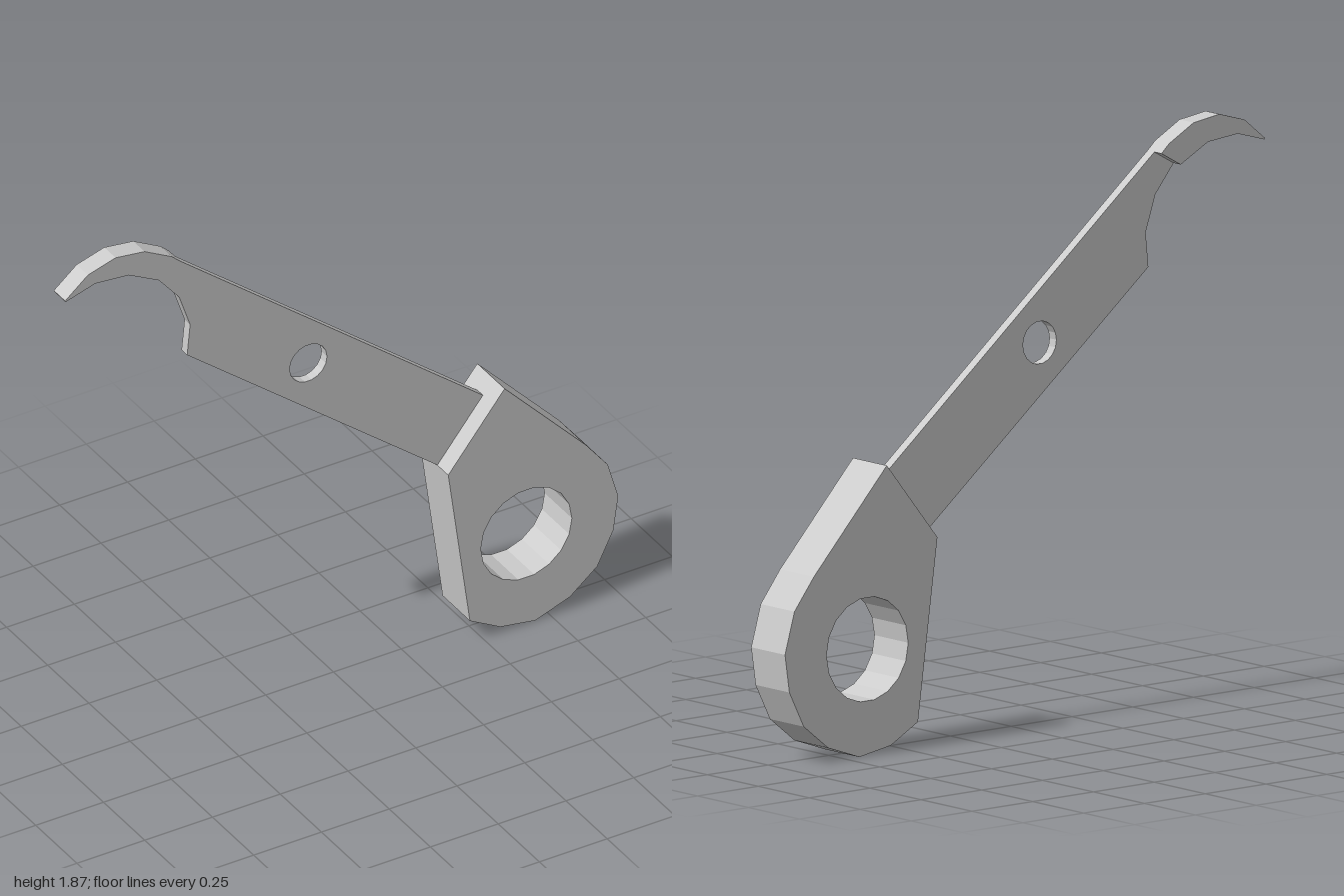
import * as THREE from 'three';

const material = new THREE.MeshStandardMaterial({ color: 0xcccccc, flatShading: true });

// Regular polygon used as a round hole
function roundHole(cx, cy, r, sides) {
  const pts = [];
  for (let i = 0; i < sides; i++) {
    const a = (-i / sides) * Math.PI * 2;
    pts.push(new THREE.Vector2(cx + r * Math.cos(a), cy + r * Math.sin(a)));
  }
  return new THREE.Path(pts);
}

// Flat plate cut from an outline, spanning z0 to z1
function plate(name, outline, z0, z1, hole) {
  const shape = new THREE.Shape(outline.map(([x, y]) => new THREE.Vector2(x, y)));
  if (hole) shape.holes.push(hole);
  const geometry = new THREE.ExtrudeGeometry(shape, { depth: z1 - z0, bevelEnabled: false });
  geometry.translate(0, 0, z0);
  const mesh = new THREE.Mesh(geometry, material);
  mesh.name = name;
  return mesh;
}

export function createModel() {
  const group = new THREE.Group();
  group.name = 'hookedLever';

  // Shared corners where the plates meet
  const stepTop = [-0.575, 1.775], stepBottom = [-0.654, 1.73];
  const baseLeft = [0.373, 0.666];

  // Thick pivot block with a large bore
  group.add(plate('pivotBlock', [
    baseLeft, [0.453, 0.083], [0.565, 0.021], [0.694, 0.0], [0.822, 0.045],
    [0.923, 0.126], [0.982, 0.243], [1.0, 0.366], [0.961, 0.5], [0.881, 0.602], [0.581, 0.922],
  ], -0.083, 0.083, roundHole(0.661, 0.342, 0.168, 18)));

  // Thin arm with a scooped end and a small hole
  group.add(plate('arm', [
    stepTop, stepBottom, [-0.579, 1.639], [-0.539, 1.521], [-0.55, 1.409],
    baseLeft, [0.541, 0.873],
  ], -0.017, 0.017, roundHole(-0.103, 1.222, 0.069, 18)));

  // Curved hook, thicker toward the back
  group.add(plate('hook', [
    stepTop, [-0.606, 1.803], [-0.707, 1.858], [-0.814, 1.872], [-0.916, 1.842],
    [-1.0, 1.773], [-0.998, 1.768], [-0.889, 1.8], [-0.766, 1.789], stepBottom,
  ], -0.052, 0.017));

  return group;
}
